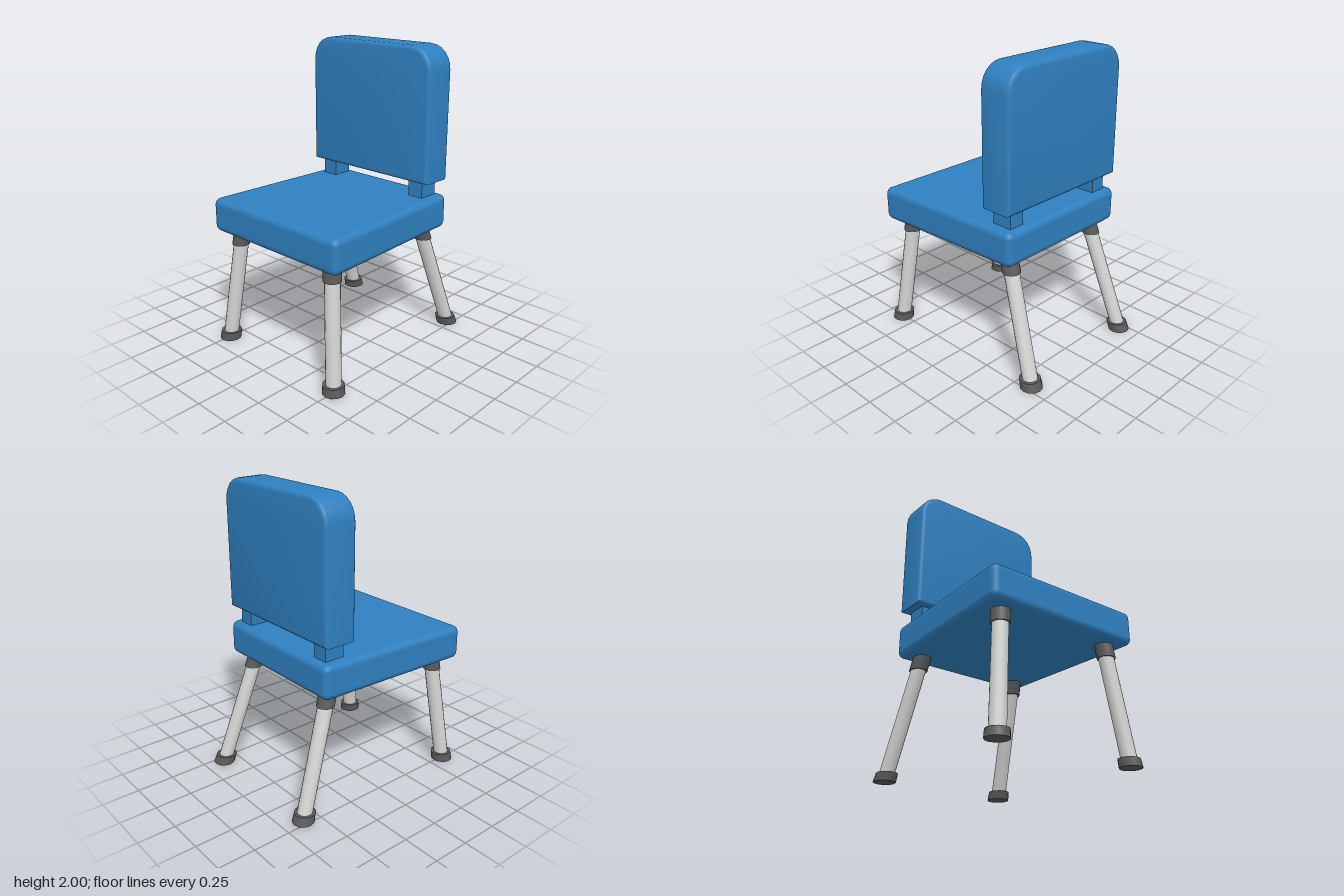
import * as THREE from 'three';
import { RoundedBoxGeometry } from 'three/addons/geometries/RoundedBoxGeometry.js';
import { toCreasedNormals } from 'three/addons/utils/BufferGeometryUtils.js';

const material = (name, color) => {
  const m = new THREE.MeshStandardMaterial({ color });
  m.name = name;
  return m;
};

export function createModel() {
  const blue = material('blue upholstery', 0x2f80c0);
  const metal = material('light metal', 0xd2d4d2);
  const rubber = material('dark rubber', 0x5a5a5a);
  const chair = new THREE.Group();
  chair.name = 'chair';

  const add = (parent, name, geometry, mat) => {
    const mesh = new THREE.Mesh(geometry, mat);
    mesh.name = name;
    parent.add(mesh);
    return mesh;
  };

  // Seat cushion, narrowing towards the back
  const seat = new RoundedBoxGeometry(1.12, 0.23, 1.125, 3, 0.045);
  const p = seat.attributes.position;
  for (let i = 0; i < p.count; i++) {
    const t = 0.5 - p.getZ(i) / 1.125;
    p.setX(i, p.getX(i) * (1 - 0.09 * t));
  }
  add(chair, 'seat', seat, blue).position.set(0, 0.903, 0.0975);

  // Backrest: square at the bottom, rounded at the top, softened edges
  const w = 0.505, r = 0.155, bevel = 0.025;
  const outline = new THREE.Shape();
  outline.moveTo(-w, 1.125);
  outline.lineTo(w, 1.125);
  outline.lineTo(w, 2 - r);
  outline.absarc(w - r, 2 - r, r, 0, Math.PI / 2);
  outline.lineTo(-w + r, 2);
  outline.absarc(-w + r, 2 - r, r, Math.PI / 2, Math.PI);
  outline.closePath();
  const back = new THREE.ExtrudeGeometry(outline, {
    depth: 0.23 - 2 * bevel, curveSegments: 3, bevelEnabled: true,
    bevelThickness: bevel, bevelSize: bevel, bevelOffset: -bevel, bevelSegments: 3,
  });
  back.translate(0, 0, -0.46 + bevel);
  add(chair, 'backrest', toCreasedNormals(back, 0.7), blue);

  // Slanted round section between two heights, with level ends
  const section = (bottom, top, y0, y1, r0, r1, sides) => {
    const g = new THREE.CylinderGeometry(r1, r0, y1 - y0, sides);
    g.translate(0, (y0 + y1) / 2, 0);
    const dx = (top[0] - bottom[0]) / 0.8, dz = (top[1] - bottom[1]) / 0.8;
    g.applyMatrix4(new THREE.Matrix4().set(
      1, dx, 0, bottom[0],
      0, 1, 0, 0,
      0, dz, 1, bottom[1],
      0, 0, 0, 1));
    return g;
  };

  // Legs as [x, z] at the floor and under the seat
  const legs = [
    ['front', [0.5, 0.615], [0.415, 0.535]],
    ['back', [0.458, -0.607], [0.383, -0.338]],
  ];
  for (const [sideName, s] of [['Left', 1], ['Right', -1]]) {
    const post = add(chair, `backrestPost${sideName}`, new THREE.BoxGeometry(0.11, 0.16, 0.14), blue);
    post.position.set(s * 0.39, 1.07, -0.342);

    for (const [end, b, t] of legs) {
      const leg = new THREE.Group();
      leg.name = `${end}Leg${sideName}`;
      const bottom = [s * b[0], b[1]], top = [s * t[0], t[1]];
      add(leg, 'tube', section(bottom, top, 0.03, 0.75, 0.05, 0.05, 16), metal);
      add(leg, 'foot', section(bottom, top, 0, 0.055, 0.073, 0.07, 12), rubber);
      add(leg, 'collar', section(bottom, top, 0.7, 0.82, 0.06, 0.06, 12), rubber);
      chair.add(leg);
    }
  }
  return chair;
}
